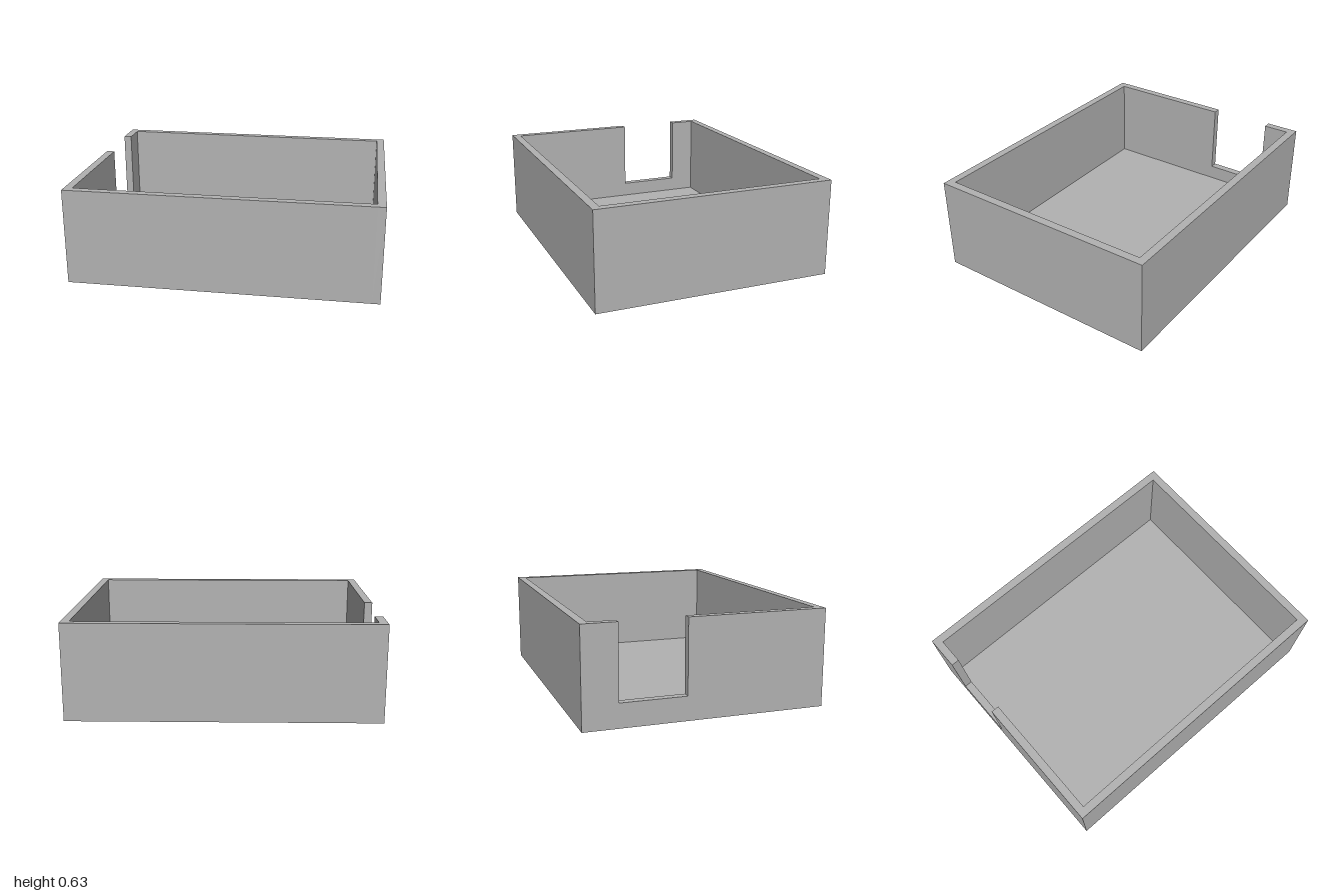
import * as THREE from 'three';

// Open tray with a thumb notch cut into one side wall
const W = 2, D = 1.556, H = 0.63, T = 0.053;
const NOTCH = { back: -0.554, front: -0.13, bottom: 0.154 };

export function createModel() {
  const group = new THREE.Group();
  group.name = 'openTray';
  const grey = new THREE.MeshStandardMaterial({ color: 0xb2b2b2 });
  grey.name = 'plain grey';

  const add = (name, geometry, x, y, z) => {
    const mesh = new THREE.Mesh(geometry, grey);
    mesh.name = name;
    mesh.position.set(x, y, z);
    group.add(mesh);
    return mesh;
  };

  // Floor fits between the walls
  const innerW = W - 2 * T, innerD = D - 2 * T;
  add('floor', new THREE.BoxGeometry(innerW, T, innerD), 0, T / 2, 0);

  // Front and back walls fit between the side walls
  for (const [name, s] of [['frontWall', 1], ['backWall', -1]]) {
    add(name, new THREE.BoxGeometry(innerW, H, T), 0, H / 2, s * (D - T) / 2);
  }

  // Plain side wall
  add('leftWall', new THREE.BoxGeometry(T, H, D), (W - T) / 2, H / 2, 0);

  // Notched side wall: profile drawn as (z, y), extruded across its thickness
  const profile = new THREE.Shape([
    [-D / 2, 0], [D / 2, 0], [D / 2, H],
    [NOTCH.front, H], [NOTCH.front, NOTCH.bottom],
    [NOTCH.back, NOTCH.bottom], [NOTCH.back, H], [-D / 2, H],
  ].map(([z, y]) => new THREE.Vector2(-z, y)));
  const notched = new THREE.ExtrudeGeometry(profile, { depth: T, bevelEnabled: false });
  notched.rotateY(Math.PI / 2);
  add('notchedRightWall', notched, -W / 2, 0, 0);

  return group;
}
